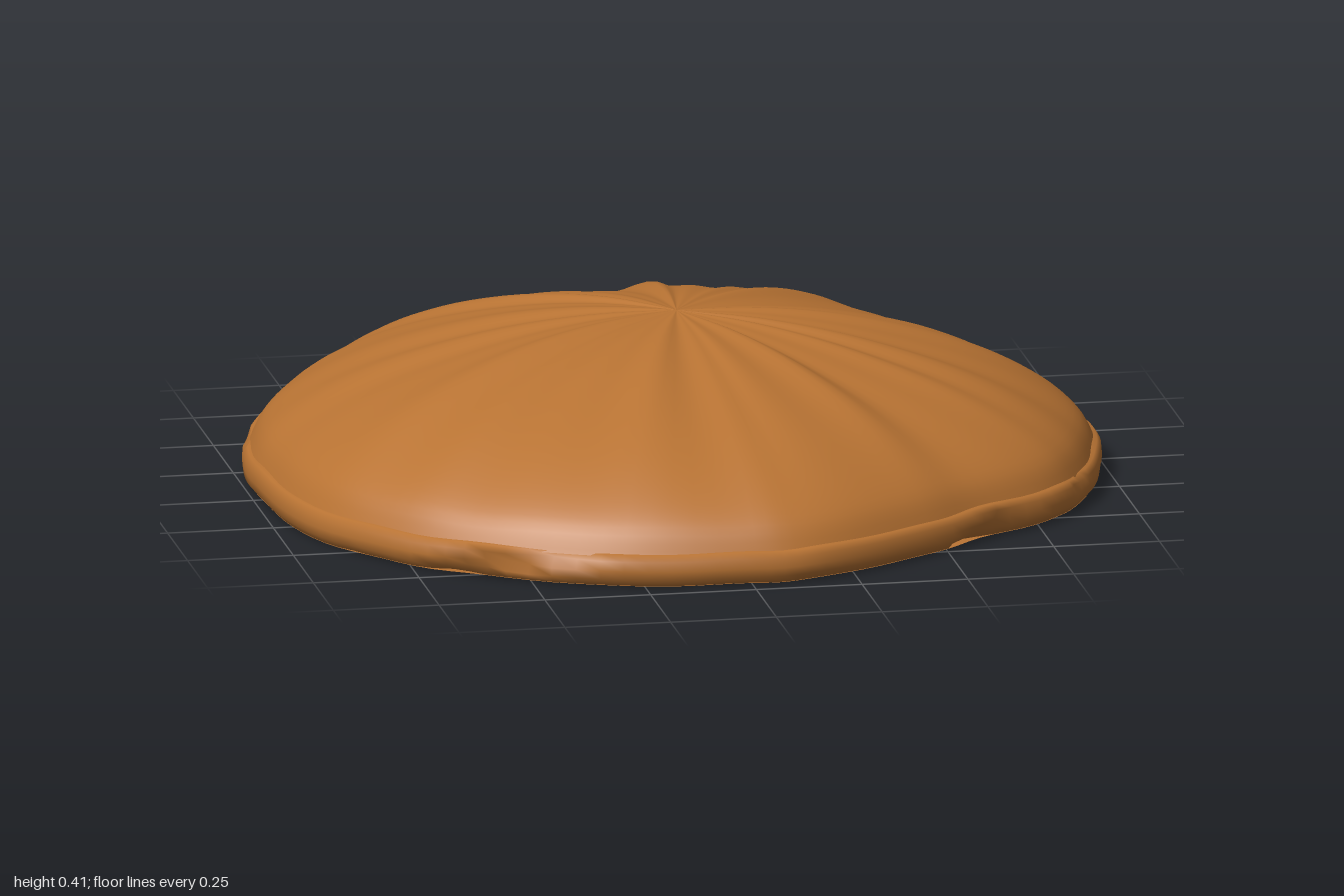
import * as THREE from 'three';

// Irregular outline seen from above: x, z
const OUTLINE = [
  [0.995, 0], [0.96, 0.21], [0.89, 0.4], [0.797, 0.535], [0.594, 0.68], [0.433, 0.8], [0.166, 0.946],
  [-0.02, 0.968], [-0.316, 0.93], [-0.6, 0.797], [-0.797, 0.615], [-0.94, 0.374], [-0.992, 0.08],
  [-0.992, -0.16], [-0.935, -0.4], [-0.797, -0.668], [-0.69, -0.8], [-0.53, -0.9], [-0.26, -0.955],
  [0, -0.973], [0.166, -0.957], [0.38, -0.866], [0.54, -0.81], [0.717, -0.64], [0.86, -0.4], [0.963, -0.187],
];
const SEGMENTS = 144;

// Smooth noise that closes around the outline
const ripple = (a, s) =>
  (Math.sin(5 * a + s) + Math.sin(9 * a + 2.3 * s) + Math.sin(16 * a + 1.7 * s) + Math.sin(25 * a + 3.1 * s)) / 4;

// Sweeps rings of [scale, height] round the outline; bump(t, y, angle) returns the final [scale, height]
function loft(rings, bump) {
  const curve = new THREE.CatmullRomCurve3(OUTLINE.map(([x, z]) => new THREE.Vector3(x, 0, z)), true);
  const edge = curve.getPoints(SEGMENTS);
  const pos = [], index = [];
  rings.forEach(([t, y], i) => {
    for (let j = 0; j < SEGMENTS; j++) {
      const [s, h] = bump(t, y, (j / SEGMENTS) * Math.PI * 2);
      pos.push(edge[j].x * s, h, edge[j].z * s);
      if (i === 0) continue;
      const k = (j + 1) % SEGMENTS;
      const a = (i - 1) * SEGMENTS + j, b = (i - 1) * SEGMENTS + k;
      const c = i * SEGMENTS + j, d = i * SEGMENTS + k;
      if (rings[i - 1][0] > 0) index.push(a, b, c);
      if (t > 0) index.push(b, d, c);
    }
  });
  const geo = new THREE.BufferGeometry();
  geo.setAttribute('position', new THREE.Float32BufferAttribute(pos, 3));
  geo.setIndex(index);
  geo.computeVertexNormals();
  return geo;
}

export function createModel() {
  const group = new THREE.Group();
  const crust = new THREE.MeshStandardMaterial({ color: 0xb87333, side: THREE.DoubleSide });
  crust.name = 'brown crust';

  const add = (name, geo) => {
    const mesh = new THREE.Mesh(geo, crust);
    mesh.name = name;
    group.add(mesh);
  };

  // Rounded top with faint creases fanning out from the middle
  const profile = new THREE.SplineCurve([
    [0, 0.422], [0.2, 0.408], [0.4, 0.375], [0.6, 0.322], [0.75, 0.267], [0.87, 0.205], [0.95, 0.145], [0.985, 0.085],
  ].map(([t, y]) => new THREE.Vector2(t, y)));
  const domeRings = profile.getPoints(28).map((p, i) => [i === 0 ? 0 : p.x, p.y]);
  add('dome', loft(domeRings, (t, y, a) => {
    const crease = 0.016 * Math.sin(Math.PI * Math.min(1, t)) * ripple(a, 1 + 0.6 * t);
    return [t, y + crease + 0.004 * t * ripple(a, 4)];
  }));

  // Low, slightly chipped band round the foot
  const bandRings = [[0.965, 0.094], [0.99, 0.092], [1, 0.078], [1.002, 0.055], [1, 0.035], [0.985, 0.018], [0.965, 0.017]];
  add('rimBand', loft(bandRings, (t, y, a) => {
    const chip = Math.max(0, ripple(a, 2 + y * 25) - 0.45) * 0.06;
    return [t - chip, y + 0.004 * ripple(a, 3)];
  }));

  // Nearly flat underside, gently rippled
  const baseRings = [];
  for (let i = 0; i <= 12; i++) baseRings.push([0.985 * (1 - i / 12), 0.017]);
  add('underside', loft(baseRings, (t, y, a) => [
    t, y + 0.004 * ripple(a, 3) * t + 0.008 * t * (1 - t) * ripple(a, 5),
  ]));

  return group;
}
